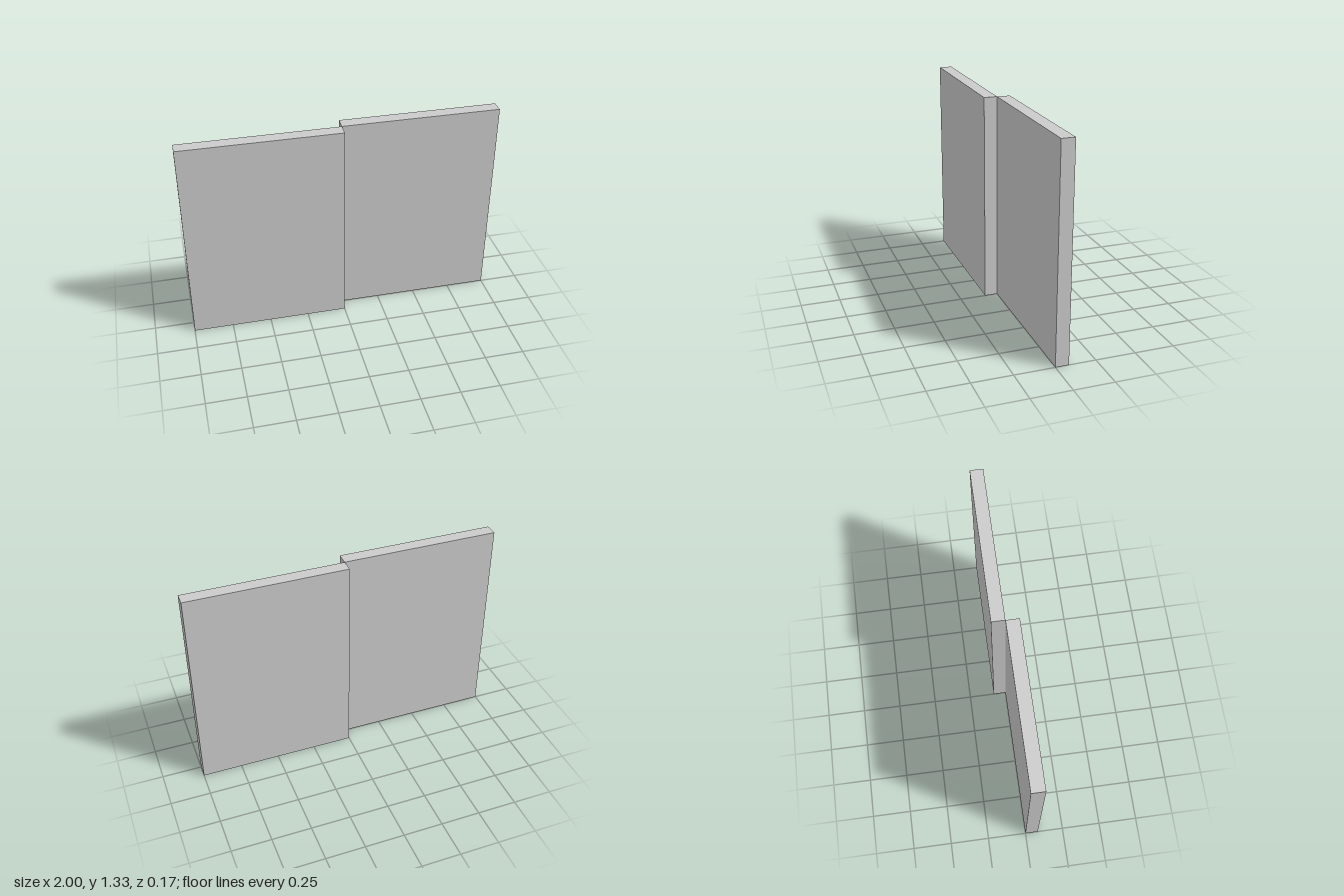
import * as THREE from 'three';

const WIDTH = 1, HEIGHT = 1.333, DEPTH = 0.083;

export function createModel() {
  const model = new THREE.Group();
  model.name = 'slidingPanels';
  const material = new THREE.MeshStandardMaterial({ color: 0xcccccc });
  const geometry = new THREE.BoxGeometry(WIDTH, HEIGHT, DEPTH);

  // Two equal panels: the right one in the front track, the left one behind it
  for (const [name, side] of [['rightPanel', -1], ['leftPanel', 1]]) {
    const panel = new THREE.Mesh(geometry, material);
    panel.name = name;
    panel.position.set(side * WIDTH / 2, HEIGHT / 2, -side * DEPTH / 2);
    model.add(panel);
  }
  return model;
}
